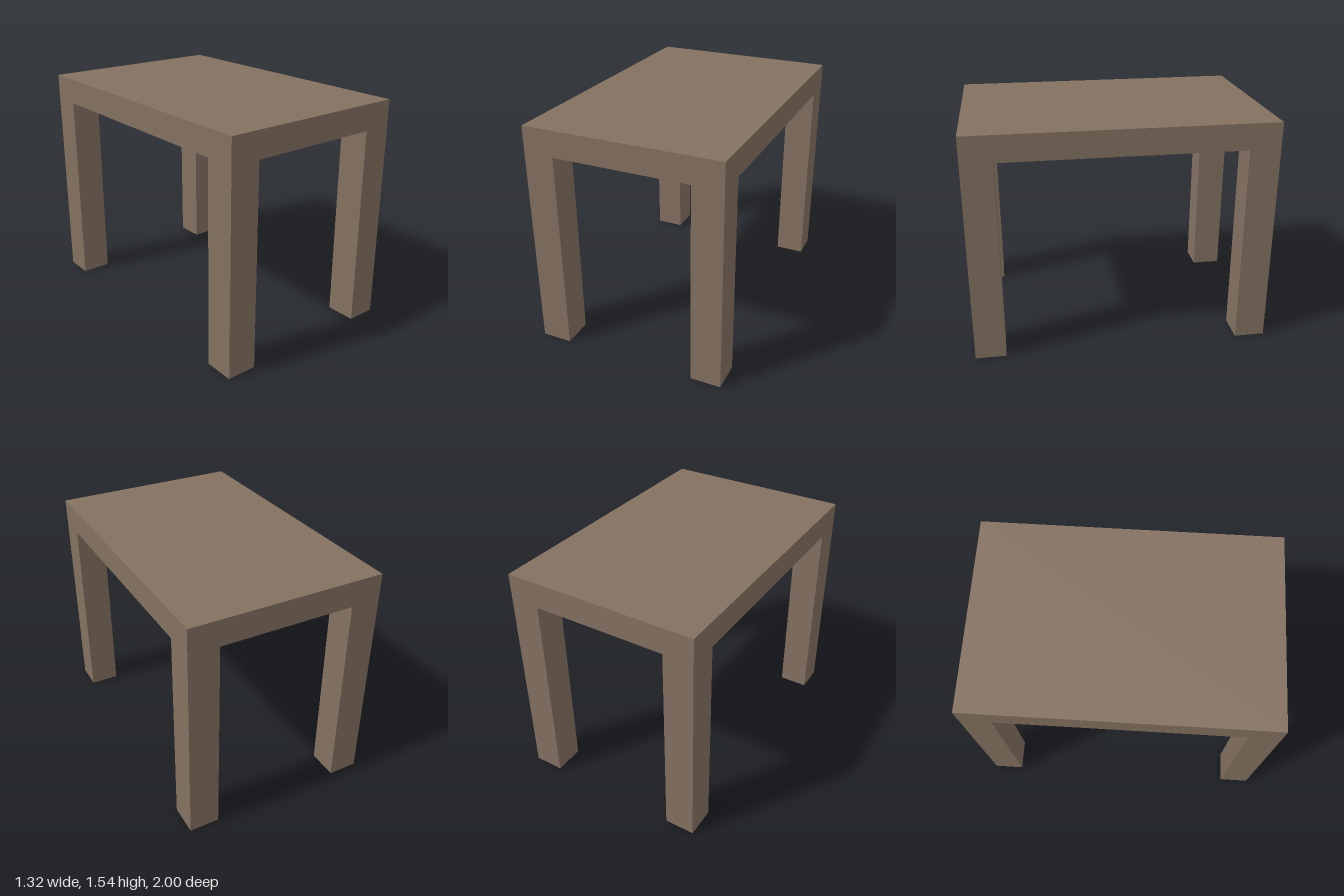
import * as THREE from 'three';

export function createModel() {
  const model = new THREE.Group();
  model.name = 'table';
  const wood = new THREE.MeshStandardMaterial({ color: 0x847161 });
  wood.name = 'brown wood';

  const width = 1.315, depth = 2, height = 1.545;
  const slab = 0.175, legX = 0.203, legZ = 0.205;
  const legHeight = height - slab;

  const addBox = (name, w, h, d, x, y, z) => {
    const mesh = new THREE.Mesh(new THREE.BoxGeometry(w, h, d), wood);
    mesh.name = name;
    mesh.position.set(x, y, z);
    model.add(mesh);
  };

  // Thick top, flush with the outer faces of the legs
  addBox('tableTop', width, slab, depth, 0, height - slab / 2, 0);

  // Four corner legs
  for (const [side, sx] of [['Left', 1], ['Right', -1]]) {
    for (const [end, sz] of [['front', 1], ['back', -1]]) {
      addBox(`${end}${side}Leg`, legX, legHeight, legZ,
        sx * (width - legX) / 2, legHeight / 2, sz * (depth - legZ) / 2);
    }
  }
  return model;
}
